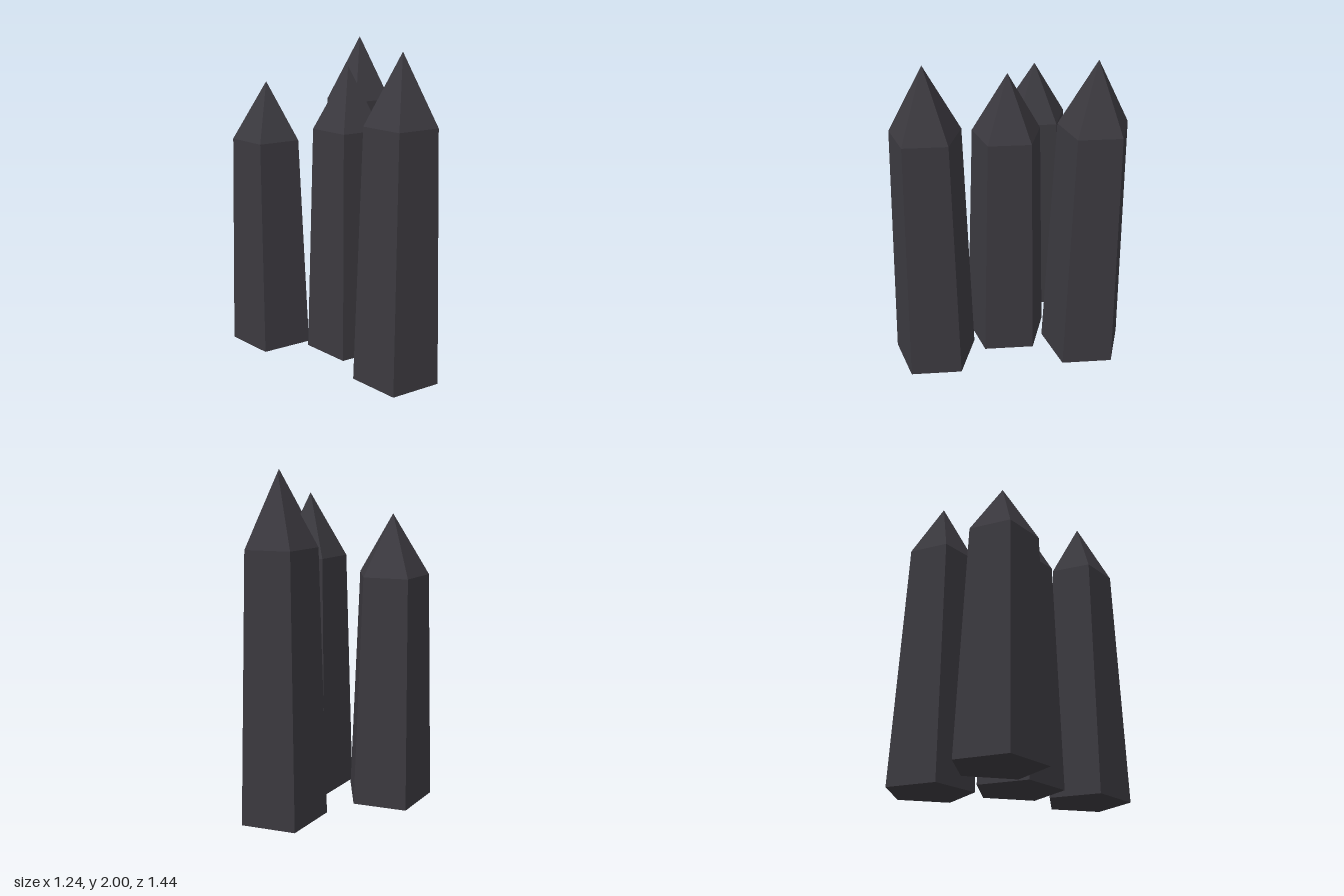
import * as THREE from 'three';

const SIDES = 5;
const BASE_RADIUS = 0.274;
const SHOULDER_RADIUS = 0.221;

// One tapered five-sided crystal with a pointed tip, a corner facing the back
function createCrystal(x, z, shoulder, height, material) {
  const crystal = new THREE.Group();
  crystal.name = 'crystal';

  // Shaft: open at the top, where the tip closes it, with a bottom cap
  const shaft = new THREE.Mesh(
    new THREE.CylinderGeometry(SHOULDER_RADIUS, BASE_RADIUS, shoulder, SIDES, 1, true, Math.PI),
    material
  );
  shaft.name = 'shaft';
  shaft.position.y = shoulder / 2;

  const bottom = new THREE.Mesh(new THREE.CircleGeometry(BASE_RADIUS, SIDES, -Math.PI / 2), material);
  bottom.name = 'bottom';
  bottom.rotation.x = Math.PI / 2;

  // Pointed tip
  const tipHeight = height - shoulder;
  const tip = new THREE.Mesh(
    new THREE.ConeGeometry(SHOULDER_RADIUS, tipHeight, SIDES, 1, true, Math.PI),
    material
  );
  tip.name = 'tip';
  tip.position.y = shoulder + tipHeight / 2;

  crystal.add(shaft, bottom, tip);
  crystal.position.set(x, 0, z);
  return crystal;
}

export function createModel() {
  const model = new THREE.Group();
  model.name = 'crystalCluster';

  const darkStone = new THREE.MeshStandardMaterial({ color: 0x3b393f, flatShading: true });
  darkStone.name = 'dark stone';

  // x, z, shoulder height, full height
  const crystals = [
    ['frontCrystal', 0.077, 0.5, 1.59, 2.0],
    ['middleCrystal', 0.03, -0.03, 1.485, 1.866],
    ['backLeftCrystal', 0.355, -0.447, 1.588, 1.995],
    ['backRightCrystal', -0.36, -0.388, 1.396, 1.754],
  ];
  for (const [name, x, z, shoulder, height] of crystals) {
    const crystal = createCrystal(x, z, shoulder, height, darkStone);
    crystal.name = name;
    model.add(crystal);
  }
  return model;
}
